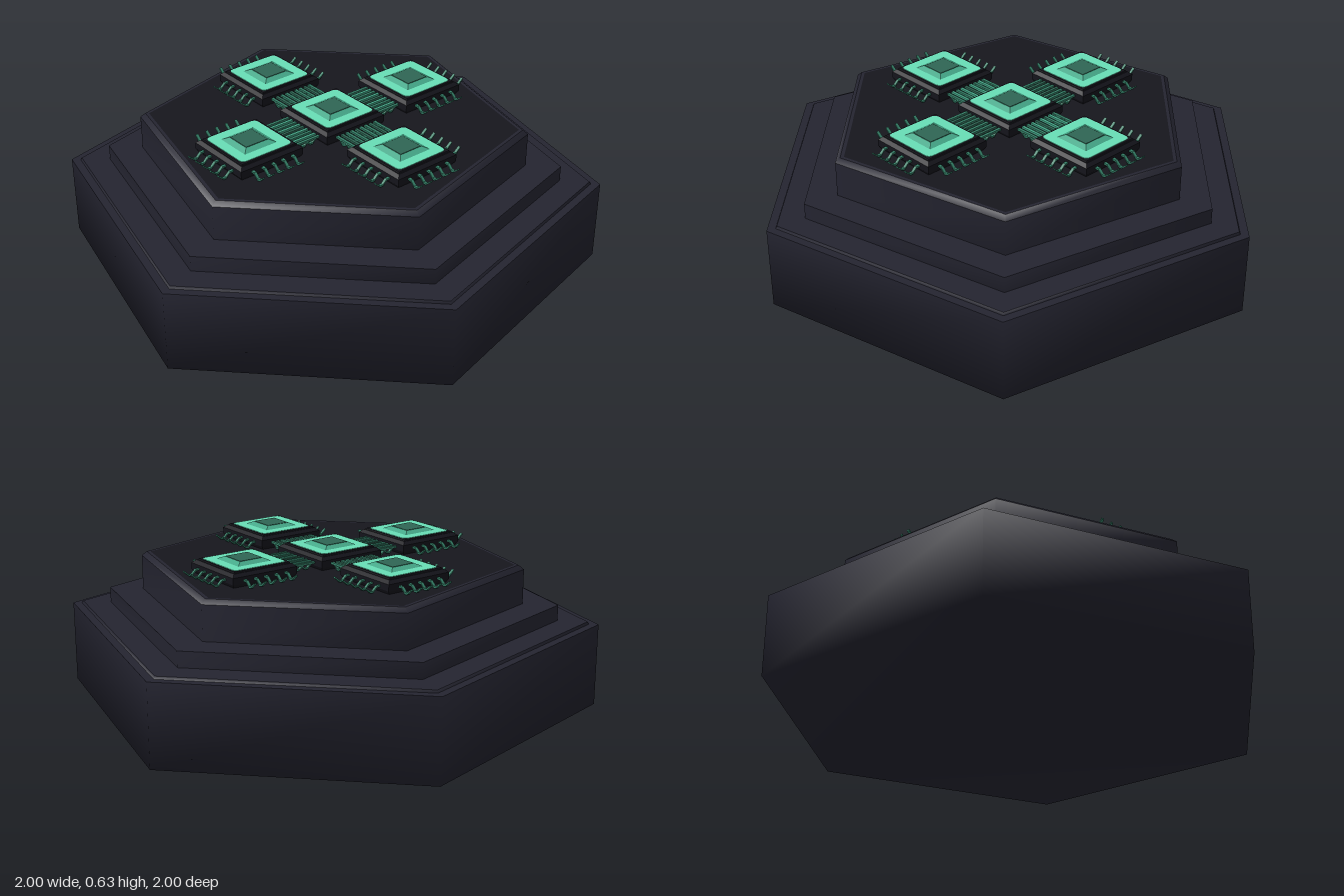
import * as THREE from 'three';
import { mergeGeometries } from 'three/addons/utils/BufferGeometryUtils.js';

const mat = (name, color, side = THREE.FrontSide) => {
  const m = new THREE.MeshStandardMaterial({ color, side });
  m.name = name;
  return m;
};

// Slightly turned hexagon, clockwise as seen from above (x, z)
const HEX = [[-0.27, -1], [0.755, -0.755], [1, 0.27], [0.27, 1], [-0.755, 0.755], [-1, -0.27]];

// Band between two hexagons given as [scale, y], smooth around; optional caps
function band([s0, y0], [s1, y1], capBottom = false) {
  const pos = [], idx = [];
  for (const [s, y] of [[s0, y0], [s1, y1]]) for (const [x, z] of HEX) pos.push(x * s, y, z * s);
  for (let i = 0; i < 6; i++) {
    const j = (i + 1) % 6;
    idx.push(i, i + 6, j, j, i + 6, j + 6);
  }
  if (capBottom) for (let i = 1; i < 5; i++) idx.push(0, i, i + 1);
  const g = new THREE.BufferGeometry();
  g.setAttribute('position', new THREE.Float32BufferAttribute(pos, 3));
  g.setIndex(idx);
  g.computeVertexNormals();
  return g;
}

// Stack of bands, each keeping a sharp edge to the next
function tier(levels, capBottom = false) {
  const parts = [];
  for (let i = 0; i + 1 < levels.length; i++) parts.push(band(levels[i], levels[i + 1], capBottom && i === 0));
  return mergeGeometries(parts);
}

// Square frustum standing on y, widths w0 (bottom) and w1 (top), open at the ends on request
function frustum(w0, w1, y, h, open = false) {
  const g = new THREE.CylinderGeometry(w1 / Math.SQRT2, w0 / Math.SQRT2, h, 4, 1, open).toNonIndexed();
  g.rotateY(Math.PI / 4);
  g.translate(0, y + h / 2, 0);
  g.computeVertexNormals();
  return g;
}

// Rounded square plate lying flat
function plate(w, r, y, h) {
  const a = w / 2, s = new THREE.Shape();
  s.moveTo(-a + r, -a);
  s.lineTo(a - r, -a); s.quadraticCurveTo(a, -a, a, -a + r);
  s.lineTo(a, a - r); s.quadraticCurveTo(a, a, a - r, a);
  s.lineTo(-a + r, a); s.quadraticCurveTo(-a, a, -a, a - r);
  s.lineTo(-a, -a + r); s.quadraticCurveTo(-a, -a, -a + r, -a);
  const g = new THREE.ExtrudeGeometry(s, { depth: h, bevelEnabled: false, curveSegments: 4 });
  g.rotateX(-Math.PI / 2);
  g.translate(0, y, 0);
  return g;
}

// Bent pin running along +x with an upturned tip
function pinGeometry(width) {
  const path = [[0.13, 0.592], [0.16, 0.59], [0.178, 0.573], [0.19, 0.573], [0.212, 0.591]];
  const s = new THREE.Shape();
  path.forEach(([x, y], i) => (i ? s.lineTo(x, y) : s.moveTo(x, y)));
  path.reverse().forEach(([x, y]) => s.lineTo(x, y - 0.007));
  const g = new THREE.ExtrudeGeometry(s, { depth: width, bevelEnabled: false });
  g.translate(0, 0, -width / 2);
  return g;
}

export function createModel() {
  const root = new THREE.Group();
  root.name = 'chipPedestal';
  const casing = mat('casing charcoal', 0x242430);
  const deckMat = mat('deck black', 0x16161d);
  const frameMat = mat('chip frame black', 0x14141b);
  const glow = mat('bright mint', 0x68deb6);
  const mid = mat('mid mint', 0x45a889);
  const core = mat('dark green core', 0x2f6654);
  const pinMat = mat('pin green', 0x358068);
  const add = (parent, name, geo, m) => {
    const mesh = new THREE.Mesh(geo, m);
    mesh.name = name;
    parent.add(mesh);
    return mesh;
  };

  // Stepped hexagonal pedestal
  add(root, 'base', tier([[1, 0], [1, 0.332], [0.965, 0.332], [0.96, 0.342], [0.85, 0.342]], true), casing);
  add(root, 'middleStep', tier([[0.85, 0.342], [0.85, 0.405], [0.715, 0.405]]), casing);
  add(root, 'upperStep', tier([[0.72, 0.405], [0.72, 0.545], [0.7, 0.562], [0.685, 0.562]]), casing);
  const deckShape = new THREE.Shape(HEX.map(([x, z]) => new THREE.Vector2(x * 0.686, -z * 0.686)));
  const deckGeo = new THREE.ShapeGeometry(deckShape);
  deckGeo.rotateX(-Math.PI / 2);
  deckGeo.translate(0, 0.562, 0);
  add(root, 'deck', deckGeo, deckMat);

  // Chip body: chamfered frame, bright window, raised core
  const frameGeo = mergeGeometries([
    frustum(0.272, 0.29, 0.562, 0.014), frustum(0.29, 0.29, 0.576, 0.026), frustum(0.29, 0.262, 0.602, 0.012),
  ]);
  const lipGeo = frustum(0.255, 0.25, 0.612, 0.007);
  const windowGeo = plate(0.235, 0.022, 0.615, 0.006);
  const slopeGeo = frustum(0.15, 0.104, 0.621, 0.011, true);
  const coreGeo = frustum(0.104, 0.1, 0.625, 0.008);
  const pinGeo = pinGeometry(0.012);

  const spots = [[0, 0], [0.407, 0], [-0.407, 0], [0, 0.407], [0, -0.407]];
  spots.forEach(([x, z], n) => {
    const chip = new THREE.Group();
    chip.name = n ? 'outerChip' : 'centreChip';
    chip.position.set(x, 0, z);
    add(chip, 'frame', frameGeo, frameMat);
    add(chip, 'lip', lipGeo, frameMat);
    add(chip, 'window', windowGeo, glow);
    add(chip, 'coreSlope', slopeGeo, mid);
    add(chip, 'core', coreGeo, core);
    // Five pins on each of the four sides
    for (let side = 0; side < 4; side++) {
      const row = new THREE.Group();
      row.name = 'pinRow';
      row.rotation.y = side * Math.PI / 2;
      for (let i = -2; i <= 2; i++) add(row, 'pin', pinGeo, pinMat).position.z = i * 0.046;
      chip.add(row);
    }
    root.add(chip);
  });

  // Ribbon of conductors linking the centre chip to each neighbour
  const wireGeo = new THREE.BoxGeometry(0.125, 0.008, 0.012);
  for (let side = 0; side < 4; side++) {
    const link = new THREE.Group();
    link.name = 'linkRibbon';
    link.rotation.y = side * Math.PI / 2;
    for (let i = -4; i <= 4; i++) {
      const m = side % 2 && i % 2 ? mid : i % 3 ? pinMat : core;
      add(link, 'conductor', wireGeo, m).position.set(0.2035, 0.588, i * 0.0235);
    }
    root.add(link);
  }
  return root;
}
